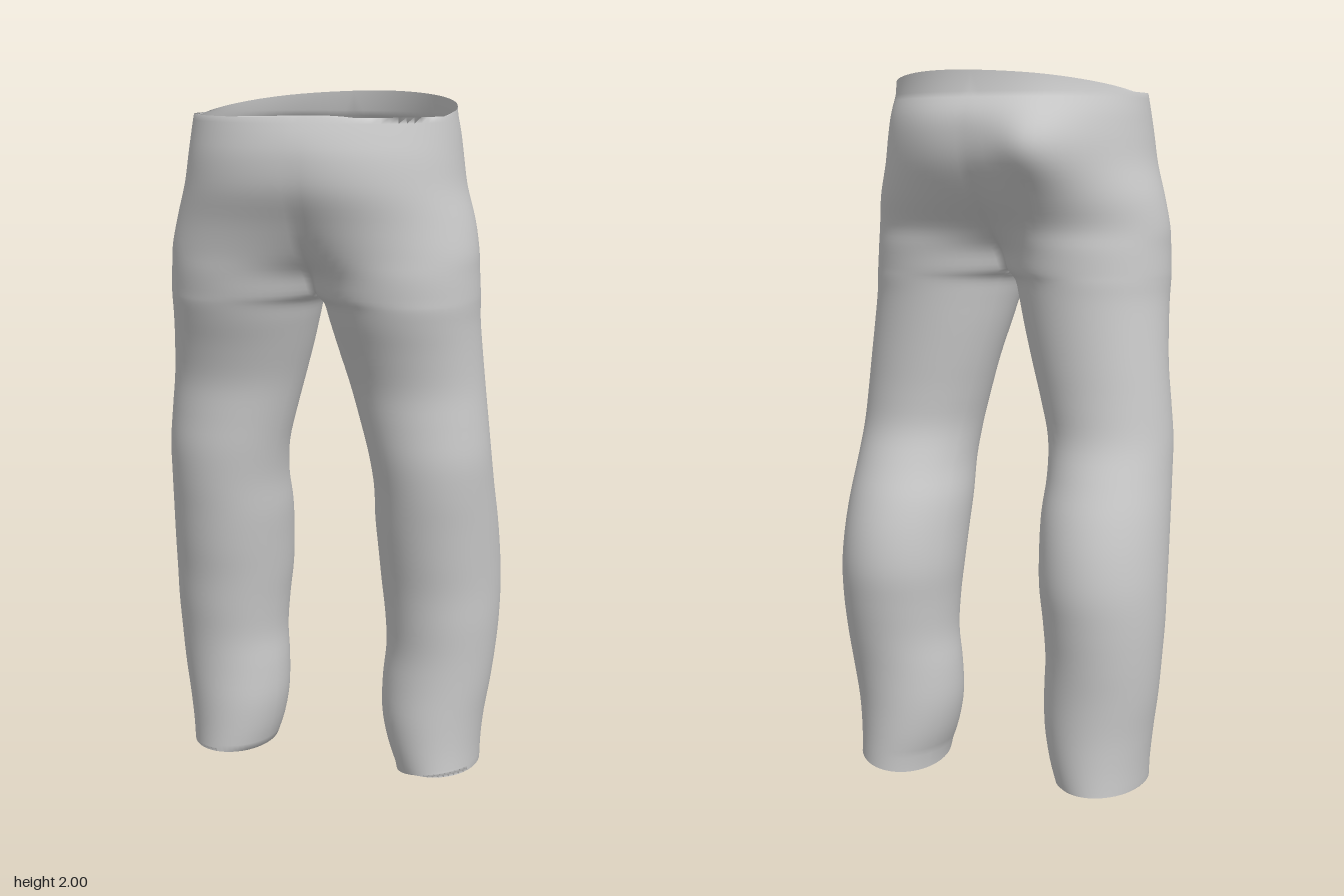
import * as THREE from 'three';
import { mergeVertices } from 'three/addons/utils/BufferGeometryUtils.js';

// Half cross-sections from hem to waist: y, inner x, outer x, back z, front z.
// A negative inner x means the section is cut by the centre plane.
const SECTIONS = [
  [0.03, 0.198, 0.44, -0.275, 0.05],
  [0.11, 0.168, 0.443, -0.275, 0.05],
  [0.2, 0.15, 0.452, -0.276, 0.05],
  [0.3, 0.15, 0.468, -0.282, 0.047],
  [0.4, 0.159, 0.48, -0.295, 0.048],
  [0.5, 0.154, 0.488, -0.31, 0.058],
  [0.6, 0.143, 0.49, -0.32, 0.07],
  [0.7, 0.137, 0.488, -0.31, 0.09],
  [0.8, 0.133, 0.484, -0.283, 0.11],
  [0.9, 0.136, 0.478, -0.243, 0.13],
  [1.0, 0.125, 0.473, -0.207, 0.145],
  [1.1, 0.1, 0.464, -0.198, 0.15],
  [1.2, 0.072, 0.454, -0.197, 0.157],
  [1.3, 0.043, 0.446, -0.198, 0.183],
  [1.38, 0.022, 0.441, -0.2, 0.21],
  [1.43, 0.008, 0.441, -0.203, 0.225],
  [1.46, -0.018, 0.441, -0.206, 0.232],
  [1.52, -0.045, 0.438, -0.211, 0.242],
  [1.58, -0.125, 0.435, -0.222, 0.254],
  [1.66, -0.22, 0.42, -0.265, 0.278],
  [1.75, -0.3, 0.395, -0.302, 0.312],
  [1.83, -0.345, 0.383, -0.313, 0.32],
  [1.89, -0.375, 0.375, -0.307, 0.312],
  [1.95, -0.365, 0.365, -0.278, 0.292],
];
const CROTCH = 16, STEPS = 4, OUTER = 44, INNER = 12;

const columns = SECTIONS[0].map((_, c) =>
  new THREE.SplineCurve(SECTIONS.map((s, i) => new THREE.Vector2(i, s[c]))));
const sectionAt = (t) => columns.map((curve) => curve.getPoint(t).y);
const bell = (d, r) => Math.exp(-(d * d) / (r * r));

// Wavy waist edge: high at the back, dipping at the left front
const waistHeight = (x, z) => 1.945 + 0.05 * Math.max(0, -z / 0.28) + 0.03 * x
  - 0.04 * bell(Math.hypot(x - 0.28, z - 0.18), 0.13);

// Uneven hems on the two legs
const hemHeight = (side, a) => side > 0
  ? 0.03 - 0.022 * Math.cos(a) + 0.02 * Math.sin(a)
  : 0.047 + 0.004 * Math.cos(a) + 0.008 * Math.sin(a);

function addHalf(side, positions, indices) {
  const rows = (SECTIONS.length - 1) * STEPS;
  const crotchRow = CROTCH * STEPS;
  const [, ci, co] = SECTIONS[CROTCH];
  const crotchAngle = Math.acos((ci + co) / (co - ci));

  const point = (row, a, s) => {
    const [y0, inner, outer, back, front] = s;
    let y = y0;
    let x = side * Math.max(0, (inner + outer) / 2 - ((outer - inner) / 2) * Math.cos(a));
    let z = (front + back) / 2 + ((front - back) / 2) * Math.sin(a);
    if (side < 0) {
      z += 0.017 * bell(y - 0.62, 0.3);          // right calf sits further forward
      x -= 0.008 * bell(y - 0.2, 0.2);
    }
    if (z < 0) {                                  // seat bulges
      z -= 0.055 * bell(Math.hypot(x + 0.2, y - 1.79), 0.1);
      z -= 0.012 * bell(Math.hypot(x - 0.12, y - 1.83), 0.13);
    }
    if (row === 0) y = hemHeight(side, a);
    if (row === rows) y = waistHeight(x, z);
    positions.push(x, y, z);
  };

  // Grid patch between two rows; angles(s) gives the arc at that section
  const patch = (from, to, count, angles) => {
    const base = positions.length / 3;
    for (let r = from; r <= to; r++) {
      const s = sectionAt(r / rows);
      const [a0, a1] = angles(s, r);
      for (let i = 0; i <= count; i++) point(r, a0 + ((a1 - a0) * i) / count, s);
    }
    for (let r = 0; r < to - from; r++) {
      for (let i = 0; i < count; i++) {
        const a = base + r * (count + 1) + i, b = a + 1;
        const d = a + count + 1, c = d + 1;
        if (side > 0) indices.push(a, b, c, a, c, d);
        else indices.push(a, c, b, a, d, c);
      }
    }
  };

  // Front, outside and back, running from hem to waist
  patch(0, rows, OUTER, (s, r) => {
    const cut = r <= crotchRow ? crotchAngle
      : Math.acos(THREE.MathUtils.clamp((s[1] + s[2]) / (s[2] - s[1]), 0, 1));
    return [cut, Math.PI * 2 - cut];
  });
  // Inside of the leg, ending at the crotch seam
  patch(0, crotchRow, INNER, () => [-crotchAngle, crotchAngle]);
}

export function createModel() {
  const group = new THREE.Group();
  group.name = 'trousers';

  const positions = [], indices = [];
  for (const side of [1, -1]) addHalf(side, positions, indices);

  let geometry = new THREE.BufferGeometry();
  geometry.setAttribute('position', new THREE.Float32BufferAttribute(positions, 3));
  geometry.setIndex(indices);
  geometry = mergeVertices(geometry, 1e-4);       // weld the centre and inner seams
  geometry.computeVertexNormals();

  const cloth = new THREE.Mesh(geometry,
    new THREE.MeshStandardMaterial({ color: 0xcccccc, side: THREE.DoubleSide }));
  cloth.name = 'trouserCloth';
  group.add(cloth);
  return group;
}
